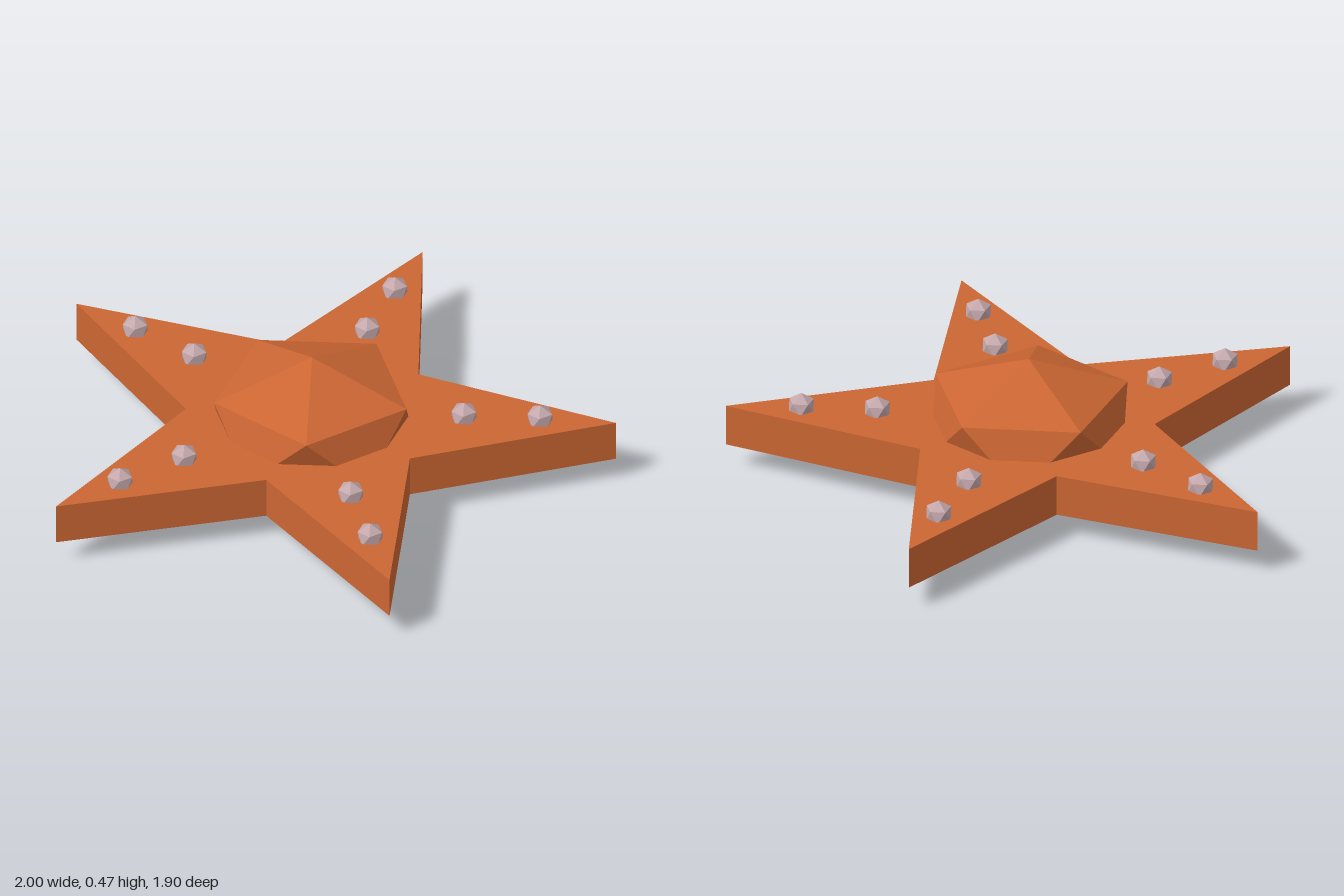
import * as THREE from 'three';

const CENTRE_Z = 0.1;
const POINTS = 5;

// Icosahedron standing on a vertex, with an upper-ring vertex toward +x
function gemGeometry(radius) {
  return new THREE.IcosahedronGeometry(radius, 0).rotateZ(-Math.atan(2 / (1 + Math.sqrt(5))));
}

export function createModel() {
  const group = new THREE.Group();
  const copper = new THREE.MeshStandardMaterial({ name: 'copper orange', color: 0xcc6633, flatShading: true });
  const pale = new THREE.MeshStandardMaterial({ name: 'pale rose', color: 0xc4a8ac, flatShading: true });

  // Five-pointed plate
  const corners = [];
  for (let i = 0; i < POINTS * 2; i++) {
    const r = i % 2 ? 0.436 : 1.05;
    const a = Math.PI / 2 + (i * Math.PI) / POINTS;
    corners.push(new THREE.Vector2(r * Math.cos(a), r * Math.sin(a)));
  }
  const plateGeometry = new THREE.ExtrudeGeometry(new THREE.Shape(corners), { depth: 0.15, bevelEnabled: false });
  plateGeometry.rotateX(-Math.PI / 2);
  const plate = new THREE.Mesh(plateGeometry, copper);
  plate.name = 'starPlate';
  plate.position.set(0, 0.087, CENTRE_Z);
  group.add(plate);

  // Flattened gem through the middle of the plate
  const gem = new THREE.Mesh(gemGeometry(0.391).scale(1, 0.6, 1), copper);
  gem.name = 'centreGem';
  gem.position.set(0, 0.236, CENTRE_Z);
  group.add(gem);

  // Two studs along each arm
  const studGeometry = gemGeometry(0.05);
  const studs = new THREE.Group();
  studs.name = 'studs';
  for (let i = 0; i < POINTS; i++) {
    const a = (i * Math.PI * 2) / POINTS;
    for (const r of [0.525, 0.788]) {
      const stud = new THREE.Mesh(studGeometry, pale);
      stud.name = 'stud';
      stud.position.set(r * Math.sin(a), 0.25, CENTRE_Z - r * Math.cos(a));
      studs.add(stud);
    }
  }
  group.add(studs);

  return group;
}
